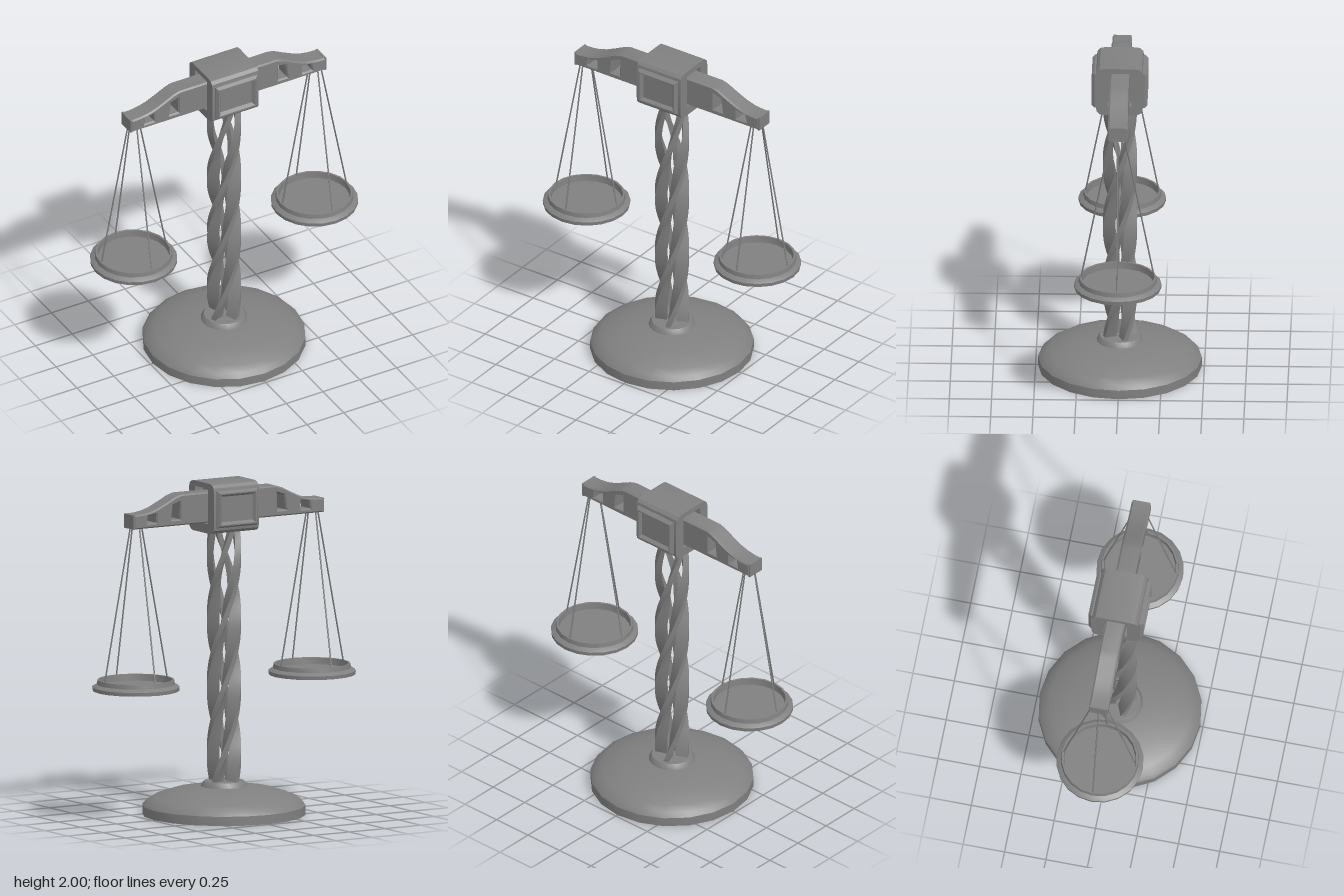
import * as THREE from 'three';
import { toCreasedNormals } from 'three/addons/utils/BufferGeometryUtils.js';

const V2 = (p) => new THREE.Vector2(p[0], p[1]);
const material = new THREE.MeshStandardMaterial({ color: 0x808080 });

function part(parent, name, geometry, crease = 0.5) {
  const mesh = new THREE.Mesh(toCreasedNormals(geometry, crease), material);
  mesh.name = name;
  parent.add(mesh);
  return mesh;
}

const lathe = (points, sides) => new THREE.LatheGeometry(points.map(V2), sides);

// Fin-shaped strand wound round the pillar axis
function strandGeometry(turn) {
  const y0 = 0.18, y1 = 1.73;
  const geo = new THREE.BoxGeometry(1, y1 - y0, 0.032, 1, 48, 1);
  geo.translate(0, (y0 + y1) / 2, 0);
  const pos = geo.attributes.position;
  for (let i = 0; i < pos.count; i++) {
    const y = pos.getY(i), t = pos.getZ(i);
    // The inner edge moves outward towards the top
    const inner = 0.028 + 0.034 * THREE.MathUtils.smoothstep(y, 1.25, 1.5);
    const r = pos.getX(i) > 0 ? 0.1 : inner;
    const a = turn + ((y - 1.71) / 0.4) * Math.PI / 2;
    pos.setX(i, r * Math.sin(a) - t * Math.cos(a));
    pos.setZ(i, r * Math.cos(a) + t * Math.sin(a));
  }
  geo.computeVertexNormals();
  return geo;
}

// Thin straight rod between two points
function rod(from, to, radius) {
  const dir = new THREE.Vector3().subVectors(to, from);
  const geo = new THREE.CylinderGeometry(radius, radius, dir.length(), 6);
  geo.applyQuaternion(new THREE.Quaternion().setFromUnitVectors(
    new THREE.Vector3(0, 1, 0), dir.clone().normalize()));
  const mid = from.clone().add(to).multiplyScalar(0.5);
  return geo.translate(mid.x, mid.y, mid.z);
}

// Raised rim and sunken panel, from nested rectangles [half width, half height, z]
function frameGeometry() {
  const rings = [[0.14, 0.11, 0.135], [0.14, 0.11, 0.148], [0.128, 0.098, 0.165],
    [0.12, 0.09, 0.165], [0.106, 0.076, 0.146], [0, 0, 0.146]];
  const verts = [], index = [];
  for (const [a, b, z] of rings) {
    verts.push(-a, -b, z, a, -b, z, a, b, z, -a, b, z);
  }
  for (let k = 0; k < rings.length - 1; k++) {
    for (let j = 0; j < 4; j++) {
      const p = k * 4 + j, q = k * 4 + (j + 1) % 4;
      index.push(p, q, q + 4, p, q + 4, p + 4);
    }
  }
  const geo = new THREE.BufferGeometry();
  geo.setAttribute('position', new THREE.Float32BufferAttribute(verts, 3));
  geo.setIndex(index);
  geo.computeVertexNormals();
  return geo;
}

export function createModel() {
  const model = new THREE.Group();
  model.name = 'balanceScale';

  // Domed foot and the collar that holds the pillar
  part(model, 'base', lathe([[0, 0], [0.485, 0], [0.485, 0.055], [0.465, 0.08],
    [0.42, 0.108], [0.31, 0.145], [0.14, 0.17], [0, 0.172]], 20));
  part(model, 'collar', lathe([[0.14, 0.165], [0.135, 0.18], [0.12, 0.2], [0, 0.2]], 20));

  // Four twisted strands
  const pillar = new THREE.Group();
  pillar.name = 'pillar';
  model.add(pillar);
  for (let i = 0; i < 4; i++) part(pillar, 'strand', strandGeometry(i * Math.PI / 2), 0.7);

  // Beam: one half profile mirrored, with two windows on each arm
  const top = [[0.655, 1.838], [0.6, 1.84], [0.55, 1.848], [0.5, 1.863],
    [0.43, 1.895], [0.37, 1.925], [0.33, 1.938]];
  const mirrored = top.map(([x, y]) => [-x, y]).reverse();
  const beamShape = new THREE.Shape(
    [[-0.655, 1.77], [0.655, 1.77], ...top, ...mirrored].map(V2));
  const windows = [
    [[0.332, 1.79], [0.408, 1.79], [0.396, 1.892], [0.332, 1.912]],
    [[0.497, 1.783], [0.578, 1.783], [0.568, 1.842], [0.497, 1.85]],
  ];
  for (const w of windows) {
    for (const s of [1, -1]) {
      beamShape.holes.push(new THREE.Path(w.map(([x, y]) => V2([s * x, y]))));
    }
  }
  const beam = new THREE.ExtrudeGeometry(beamShape, {
    depth: 0.096, bevelThickness: 0.01, bevelSize: 0.008, bevelSegments: 1,
  });
  part(model, 'beam', beam.translate(0, 0, -0.048));
  for (const s of [1, -1]) {
    const cap = part(model, 'beamEnd', new THREE.BoxGeometry(0.014, 0.085, 0.108));
    cap.position.set(s * 0.659, 1.804, 0);
  }

  // Sleeve round the middle of the beam, closed inside by a core
  const sleeveShape = new THREE.Shape();
  const w = 0.14, y0 = 1.7, y1 = 2, r = 0.05;
  sleeveShape.moveTo(-w + r, y0);
  sleeveShape.lineTo(w - r, y0).quadraticCurveTo(w, y0, w, y0 + r);
  sleeveShape.lineTo(w, y1 - r).quadraticCurveTo(w, y1, w - r, y1);
  sleeveShape.lineTo(-w + r, y1).quadraticCurveTo(-w, y1, -w, y1 - r);
  sleeveShape.lineTo(-w, y0 + r).quadraticCurveTo(-w, y0, -w + r, y0);
  sleeveShape.holes.push(new THREE.Path(
    [[-0.072, 1.757], [0.072, 1.757], [0.072, 1.968], [-0.072, 1.968]].map(V2)));
  const sleeve = new THREE.ExtrudeGeometry(sleeveShape,
    { depth: 0.314, bevelEnabled: false, curveSegments: 3 });
  part(model, 'sleeve', sleeve.translate(0, 0, -0.157).rotateY(Math.PI / 2));
  part(model, 'sleeveCore', new THREE.BoxGeometry(0.2, 0.22, 0.15)).position.y = 1.862;

  // Framed panel on the front and back of the sleeve
  for (const turn of [0, Math.PI]) {
    const frame = part(model, 'sleeveFrame', frameGeometry(), 0.2);
    frame.position.y = 1.85;
    frame.rotation.y = turn;
  }

  // Pans, each hung on four strings
  for (const s of [1, -1]) {
    const hanger = new THREE.Group();
    hanger.name = s > 0 ? 'leftPan' : 'rightPan';
    hanger.position.x = s * 0.615;
    model.add(hanger);
    part(hanger, 'pan', lathe([[0, 0.79], [0.258, 0.79], [0.26, 0.812], [0.248, 0.82],
      [0.232, 0.828], [0.228, 0.855], [0.216, 0.855], [0.212, 0.815], [0, 0.815]], 20));
    for (let i = 0; i < 4; i++) {
      const c = Math.cos(i * Math.PI / 2), d = Math.sin(i * Math.PI / 2);
      part(hanger, 'string', rod(new THREE.Vector3(c * 0.222, 0.83, d * 0.222),
        new THREE.Vector3(c * 0.038, 1.775, d * 0.038), 0.0045), 1.2);
    }
  }
  return model;
}
